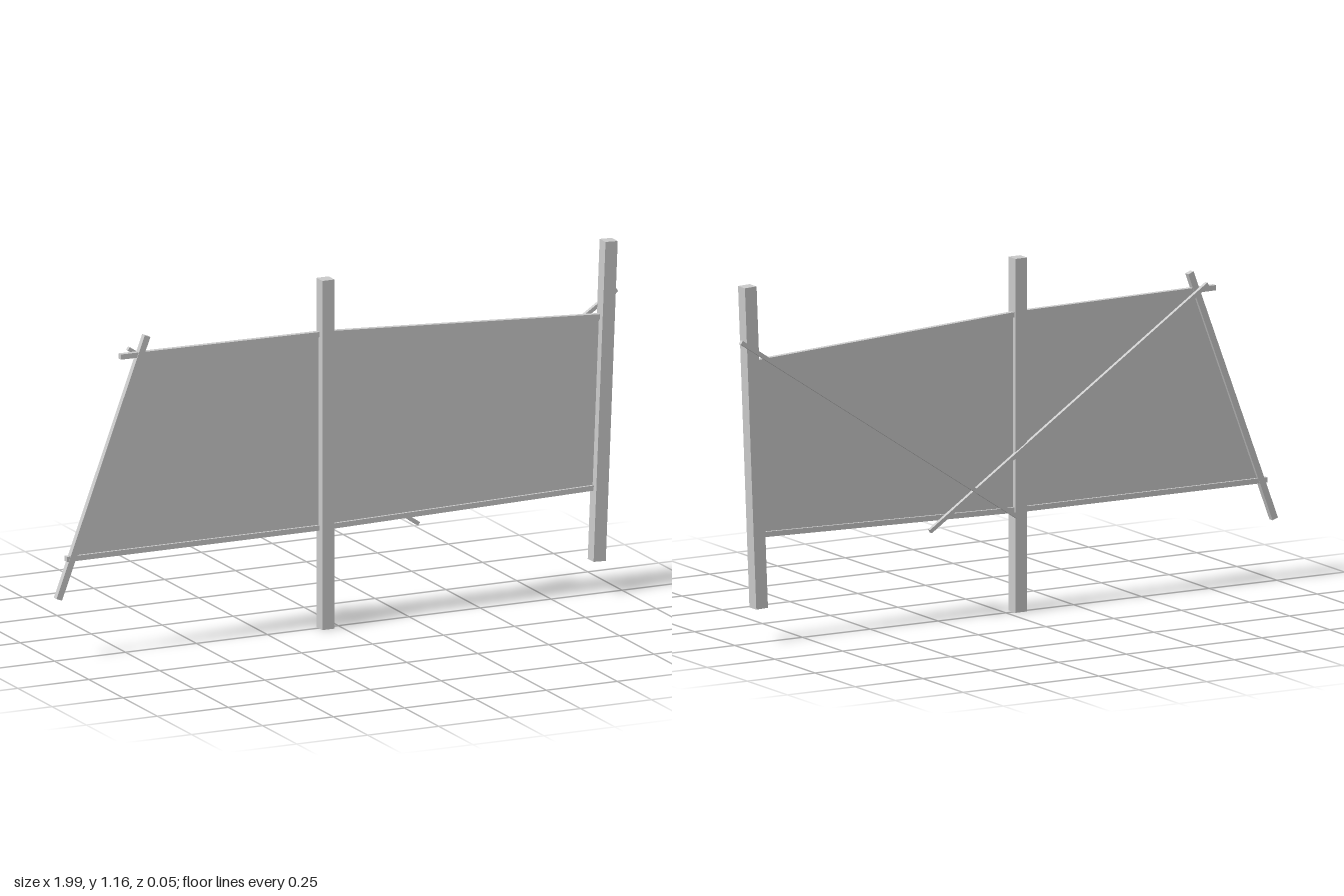
import * as THREE from 'three';

const material = new THREE.MeshStandardMaterial({ color: 0xcccccc, flatShading: true });

// Square beam running between two points [x, y, z]
function beam(name, from, to, width, depth) {
  const a = new THREE.Vector3(...from), b = new THREE.Vector3(...to);
  const mesh = new THREE.Mesh(new THREE.BoxGeometry(width, a.distanceTo(b), depth), material);
  mesh.name = name;
  mesh.position.copy(a).add(b).multiplyScalar(0.5);
  mesh.rotation.z = Math.atan2(a.x - b.x, b.y - a.y);
  return mesh;
}

export function createModel() {
  const group = new THREE.Group();
  group.name = 'fencePanel';

  // Upright posts and the leaning end stick
  group.add(
    beam('middlePost', [-0.048, 0, 0.006], [-0.048, 1.147, 0.006], 0.043, 0.043),
    beam('endPost', [0.908, 0.112, 0.006], [0.95, 1.158, 0.006], 0.043, 0.043),
    beam('endStick', [-0.988, 0.202, 0], [-0.677, 1.032, 0], 0.021, 0.02)
  );

  // Rails, bending at the middle post
  const rails = [
    ['topRailRight', [-0.77, 0.974], [-0.04, 0.966]],
    ['topRailLeft', [-0.048, 0.966], [0.93, 0.909]],
    ['bottomRailRight', [-0.96, 0.331], [-0.04, 0.331]],
    ['bottomRailLeft', [-0.048, 0.331], [0.91, 0.35]],
  ];
  for (const [name, a, b] of rails) group.add(beam(name, [...a, 0], [...b, 0], 0.017, 0.017));

  // Crossed braces on the back
  group.add(
    beam('backBraceLeft', [-0.03, 0.312, -0.021], [0.99, 0.985, -0.021], 0.013, 0.013),
    beam('backBraceRight', [0.29, 0.298, -0.017], [-0.733, 0.992, -0.017], 0.013, 0.013)
  );

  // Thin sheet stretched between the rails
  const outline = [[-0.94, 0.331], [-0.048, 0.331], [0.917, 0.35], [0.94, 0.909], [-0.048, 0.966], [-0.699, 0.973]];
  const shape = new THREE.Shape(outline.map(([x, y]) => new THREE.Vector2(x, y)));
  const sheetMaterial = material.clone();
  sheetMaterial.side = THREE.DoubleSide;
  const sheet = new THREE.Mesh(new THREE.ShapeGeometry(shape), sheetMaterial);
  sheet.name = 'sheet';
  group.add(sheet);

  return group;
}
